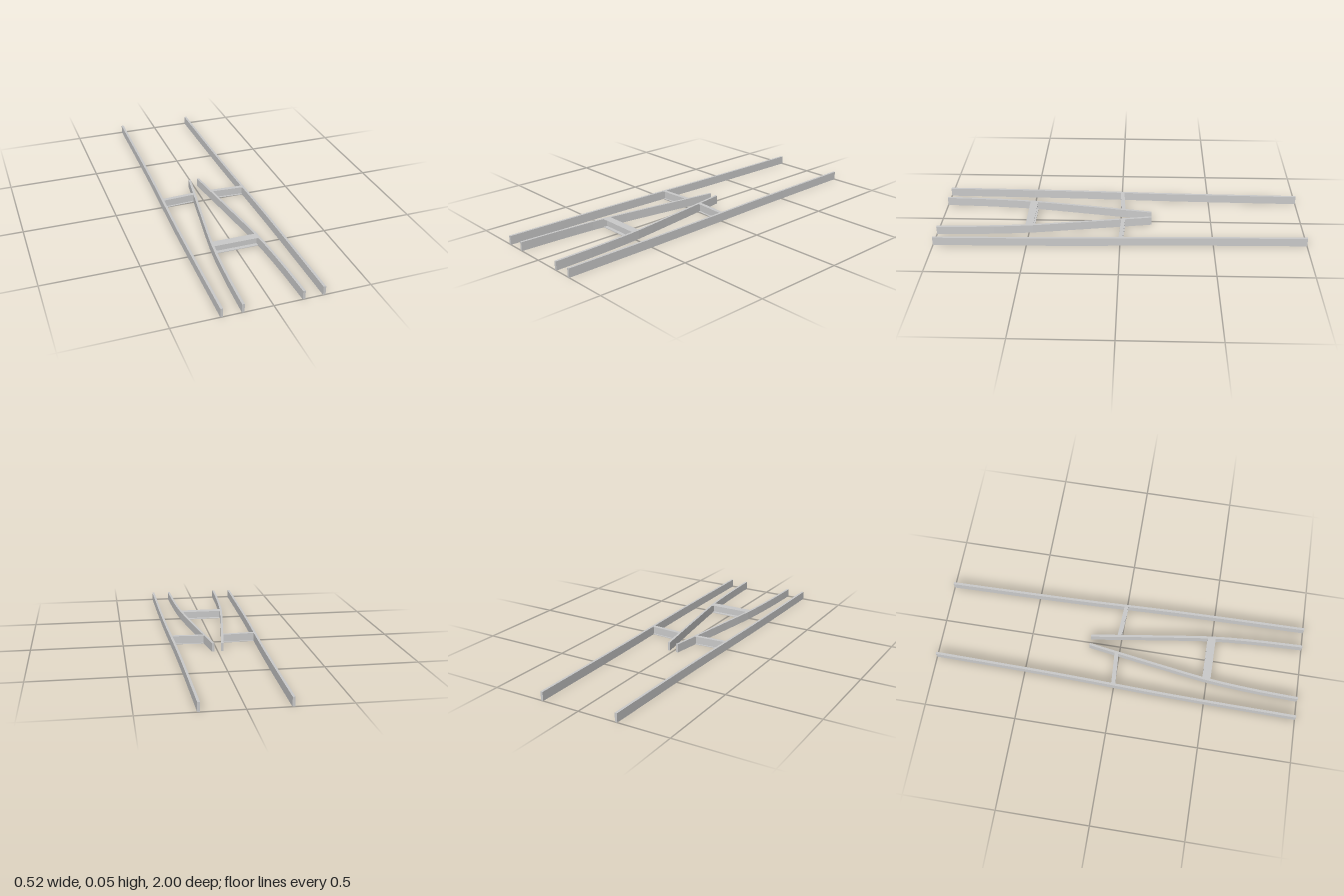
import * as THREE from 'three';

const H = 0.047;
const material = new THREE.MeshStandardMaterial({ color: 0xcccccc, flatShading: true });

// Curved rail: plan-view centre line [x, z] given a width and raised to full height
function rail(name, path, width, side) {
  const curve = new THREE.SplineCurve(path.map(([x, z]) => new THREE.Vector2(side * x, -z)));
  const pts = curve.getPoints(12);
  const edge = (d) => pts.map((p) => new THREE.Vector2(p.x + d, p.y));
  const shape = new THREE.Shape([...edge(-width / 2), ...edge(width / 2).reverse()]);
  const geo = new THREE.ExtrudeGeometry(shape, { depth: H, bevelEnabled: false });
  geo.rotateX(-Math.PI / 2);
  const mesh = new THREE.Mesh(geo, material);
  mesh.name = name;
  return mesh;
}

// I-section beam between two plan-view points
function beam(name, [x0, z0], [x1, z1], flangeWidth) {
  const w = flangeWidth / 2, t = 0.0015, f = 0.003;
  const half = [[w, 0], [w, f], [t, f], [t, H - f], [w, H - f], [w, H]];
  const outline = [...half, ...half.map(([x, y]) => [-x, y]).reverse()];
  const shape = new THREE.Shape(outline.map(([x, y]) => new THREE.Vector2(x, y)));
  const length = Math.hypot(x1 - x0, z1 - z0);
  const geo = new THREE.ExtrudeGeometry(shape, { depth: length, bevelEnabled: false });
  const mesh = new THREE.Mesh(geo, material);
  mesh.name = name;
  mesh.position.set(x0, 0, z0);
  mesh.rotation.y = Math.atan2(x1 - x0, z1 - z0);
  return mesh;
}

export function createModel() {
  const group = new THREE.Group();
  group.name = 'railFrame';

  const outerPath = [[0.255, 1], [0.245, 0.33], [0.225, -0.33], [0.214, -1]];
  const innerPath = [[0.151, 1], [0.142, 0.75], [0.123, 0.5], [0.088, 0.25], [0.051, 0], [0.025, -0.17]];

  for (const [label, side] of [['left', 1], ['right', -1]]) {
    group.add(rail(label + 'OuterRail', outerPath, 0.013, side));
    group.add(rail(label + 'InnerRail', innerPath, 0.013, side));
    // Short beam tying the inner rail to the outer rail
    group.add(beam(label + 'SideBeam', [side * 0.05, -0.014], [side * 0.235, -0.003], 0.021));
  }

  // Wide cross beam between the inner rails
  group.add(beam('crossBeam', [-0.121, 0.497], [0.121, 0.497], 0.043));
  return group;
}
